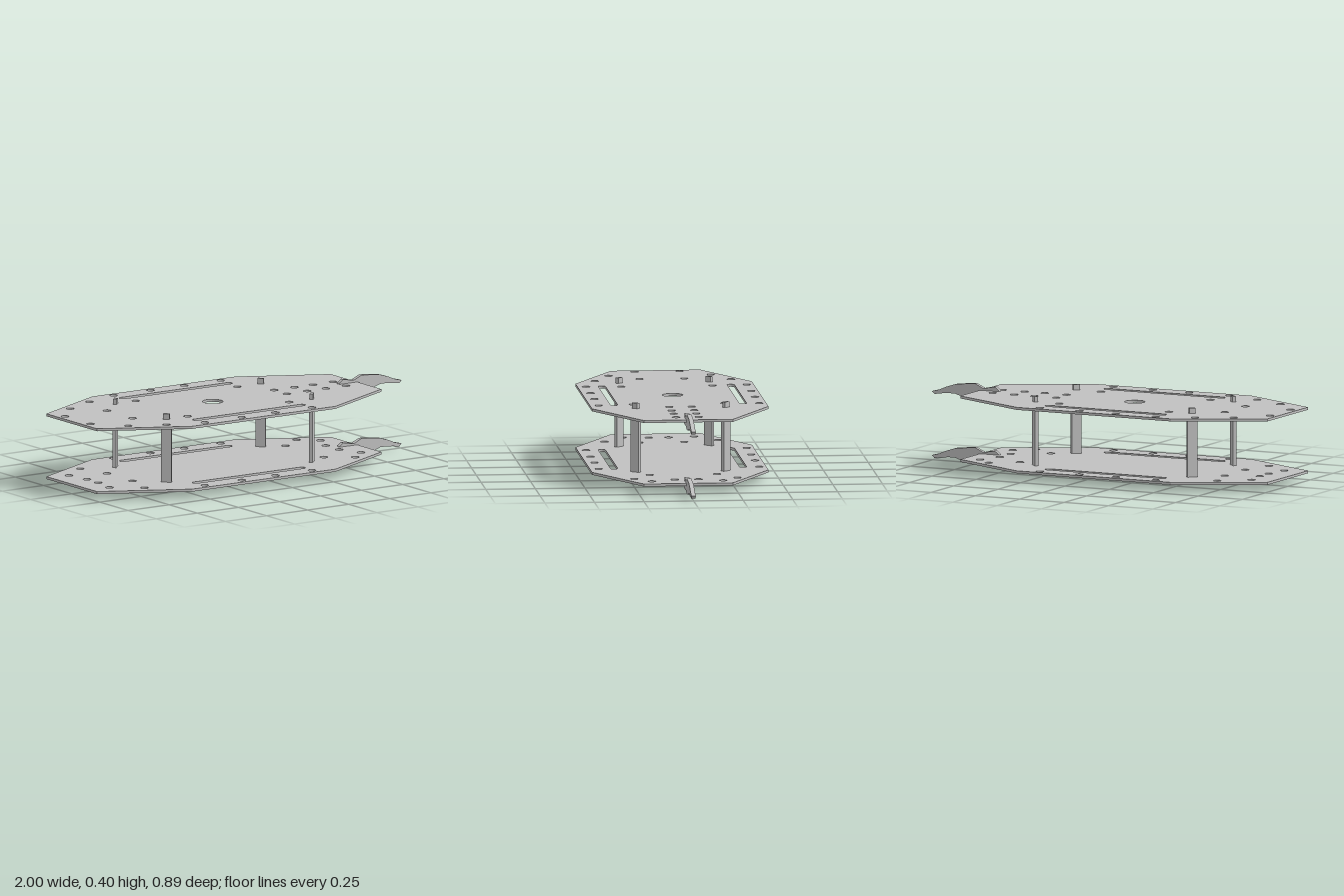
import * as THREE from 'three';

const metal = new THREE.MeshStandardMaterial({ color: 0xc0c0c0 });
metal.name = 'light grey';

const T = 0.013; // plate thickness
const LOWER = 0.037, UPPER = 0.359; // plate undersides

function add(parent, name, geometry) {
  const mesh = new THREE.Mesh(geometry, metal);
  mesh.name = name;
  parent.add(mesh);
  return mesh;
}

function outline(points) {
  return new THREE.Shape(points.map(([x, y]) => new THREE.Vector2(x, y)));
}

// Octagonal deck with edge holes, long slots and its own set of extra holes
function deckGeometry(extraHoles, centreHole) {
  const shape = outline([
    [-1, -0.225], [-0.57, -0.445], [0.3, -0.445], [0.73, -0.225],
    [0.73, 0.225], [0.3, 0.445], [-0.57, 0.445], [-1, 0.225],
  ]);
  const hole = (x, y, r) => shape.holes.push(new THREE.Path().absarc(x, y, r, 0, Math.PI * 2, true));
  const edgeHoles = [[-0.465, 0.405], [-0.24, 0.405], [-0.035, 0.405], [0.187, 0.405]];
  for (const side of [-1, 1]) {
    for (const [x, y] of [...edgeHoles, ...extraHoles]) hole(x, side * y + 0.004, 0.02);
    const slot = new THREE.Path();
    const y = side * 0.325 + 0.003;
    slot.absarc(-0.464, y, 0.018, Math.PI / 2, Math.PI * 1.5, false);
    slot.absarc(0.18, y, 0.018, -Math.PI / 2, Math.PI / 2, false);
    shape.holes.push(slot);
  }
  if (centreHole) hole(-0.14, 0.004, 0.052);
  return new THREE.ExtrudeGeometry(shape, { depth: T, bevelEnabled: false, curveSegments: 12 })
    .rotateX(-Math.PI / 2);
}

// Wavy upright fin
function finGeometry() {
  const shape = outline([
    [0.61, 0.345], [0.625, 0.38], [0.645, 0.395], [0.71, 0.383], [0.755, 0.404], [0.81, 0.4],
    [0.87, 0.393], [0.92, 0.377], [0.96, 0.36], [1, 0.35], [0.985, 0.336], [0.95, 0.342],
    [0.9, 0.346], [0.87, 0.346], [0.83, 0.333], [0.76, 0.325], [0.71, 0.337], [0.62, 0.338],
  ].reverse());
  return new THREE.ExtrudeGeometry(shape, { depth: 0.022, bevelEnabled: false })
    .translate(0, 0, -0.011);
}

export function createModel() {
  const model = new THREE.Group();
  model.name = 'twoDeckChassis';

  const upperHoles = [
    [-0.96, 0.113], [-0.83, 0.258], [-0.655, 0.343], [-0.705, 0.113], [-0.45, 0.23], [0.168, 0.23],
    [0.273, 0.057], [0.397, 0.057], [0.51, 0.057], [0.632, 0.057],
  ];
  const lowerHoles = [
    [-0.705, 0.113], [-0.87, 0.05], [-0.89, 0.18], [-0.75, 0.285],
    [0.59, 0.06], [0.64, 0.18], [0.55, 0.26], [0.42, 0.17],
  ];
  add(model, 'lowerDeck', deckGeometry(lowerHoles, false)).position.y = LOWER;
  add(model, 'upperDeck', deckGeometry(upperHoles, true)).position.y = UPPER;

  // Fins at the tip of each deck
  add(model, 'lowerFin', finGeometry()).position.y = LOWER - UPPER - 0.003;
  add(model, 'upperFin', finGeometry());

  // Flat posts set diagonally, with tabs through both decks
  for (const sx of [-1, 1]) for (const sz of [-1, 1]) {
    const post = new THREE.Group();
    post.name = 'post';
    post.position.set(-0.135 + sx * 0.442, 0, sz * 0.227 - 0.002);
    post.rotation.y = sx * sz * Math.PI / 4;
    const bottom = LOWER + T;
    add(post, 'postBody', new THREE.BoxGeometry(0.052, UPPER - bottom, 0.018))
      .position.y = (UPPER + bottom) / 2;
    add(post, 'postTab', new THREE.BoxGeometry(0.032, 0.366, 0.0179)).position.y = 0.217;
    model.add(post);
  }
  return model;
}
